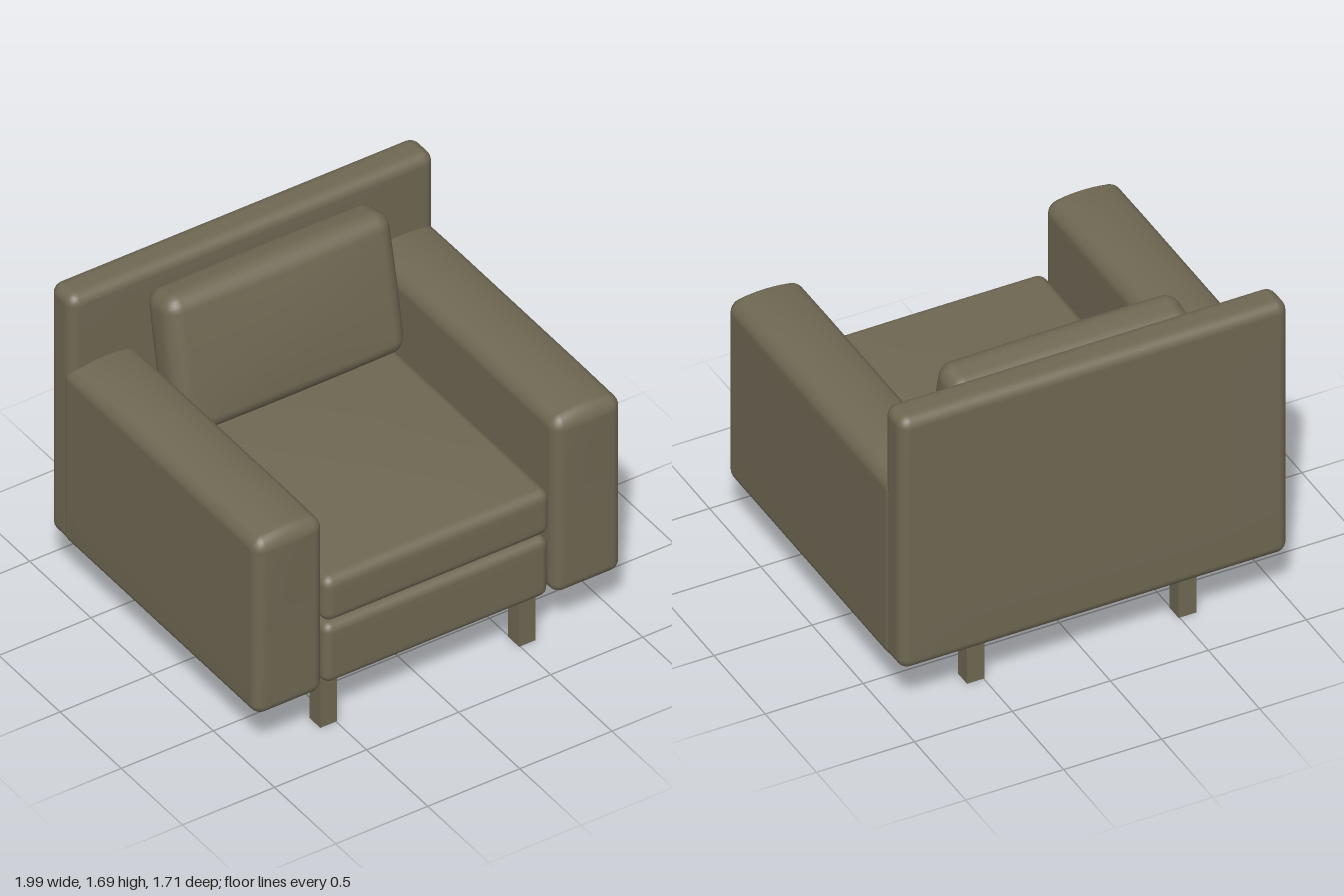
import * as THREE from 'three';
import { mergeVertices } from 'three/addons/utils/BufferGeometryUtils.js';

// Rounded box whose grid is packed into the corners; puff swells each face,
// an optional shape(p, u) adjusts the vertices (u runs -1..1 on each axis).
function softBox(w, h, d, r, puff = [0, 0, 0], shape = null) {
  const N = 12;
  let g = new THREE.BoxGeometry(2, 2, 2, N, N, N);
  g.deleteAttribute('uv');
  g.deleteAttribute('normal');
  g = mergeVertices(g, 1e-4);
  const half = [w / 2, h / 2, d / 2];
  const pos = g.attributes.position;
  const p = new THREE.Vector3(), core = new THREE.Vector3(), off = new THREE.Vector3();
  for (let i = 0; i < pos.count; i++) {
    p.fromBufferAttribute(pos, i);
    for (let a = 0; a < 3; a++) {
      const s = p.getComponent(a), m = Math.abs(s), sign = Math.sign(s);
      const inner = Math.min(m / 0.5, 1) * (half[a] - r);
      const outer = Math.tan(Math.max(0, (m - 0.5) * 2) * Math.PI / 4);
      core.setComponent(a, sign * inner);
      off.setComponent(a, sign * outer);
    }
    p.copy(core).addScaledVector(off.normalize(), r);
    const u = [p.x / half[0], p.y / half[1], p.z / half[2]];
    for (let a = 0; a < 3; a++) {
      const b = u[(a + 1) % 3], c = u[(a + 2) % 3];
      const swell = puff[a] * u[a] * (1 - b * b) * (1 - c * c);
      p.setComponent(a, p.getComponent(a) + swell);
    }
    if (shape) shape(p, u);
    pos.setXYZ(i, p.x, p.y, p.z);
  }
  g.computeVertexNormals();
  return g;
}

export function createModel() {
  const chair = new THREE.Group();
  chair.name = 'armchair';
  const upholstery = new THREE.MeshStandardMaterial({ color: 0x6f6853 });
  upholstery.name = 'olive upholstery';

  const add = (name, geometry, x, y, z) => {
    const mesh = new THREE.Mesh(geometry, upholstery);
    mesh.name = name;
    mesh.position.set(x, y, z);
    chair.add(mesh);
    return mesh;
  };

  // Flat upright back panel
  add('backPanel', softBox(1.98, 1.41, 0.18, 0.055), 0, 0.99, -0.767);

  // Seat frame and loose seat cushion
  add('seatBase', softBox(1.22, 0.335, 1.53, 0.045), 0, 0.463, 0.065);
  add('seatCushion', softBox(1.23, 0.25, 1.53, 0.05, [0, 0.035, 0]), 0, 0.775, 0.072);

  // Leaning back cushion
  const cushion = add('backCushion',
    softBox(1.22, 0.72, 0.225, 0.075, [0.01, 0.01, 0.025]), 0, 1.285, -0.49);
  cushion.rotation.x = -0.2;

  // Arms with a gently domed top and a softer upper front edge
  const domeTop = (p, u) => {
    const top = THREE.MathUtils.smoothstep(u[1], 0.7, 1);
    p.y += top * 0.045 * (1 - u[0] * u[0]) * (1 - Math.pow(u[2], 12));
    const front = Math.max(0, u[2]);
    p.z += 0.012 * front * (1 - u[0] * u[0]) * Math.max(0, u[1]);
  };
  for (const side of [-1, 1]) {
    add(side > 0 ? 'leftArm' : 'rightArm',
      softBox(0.37, 0.99, 1.6, 0.055, [0, 0, 0], domeTop), side * 0.81, 0.78, 0.045);
  }

  // Square legs
  const legGeometry = new THREE.BoxGeometry(0.09, 0.32, 0.09);
  for (const x of [-0.54, 0.54]) {
    for (const z of [-0.675, 0.705]) {
      add(z > 0 ? 'frontLeg' : 'backLeg', legGeometry, x, 0.16, z);
    }
  }
  return chair;
}
